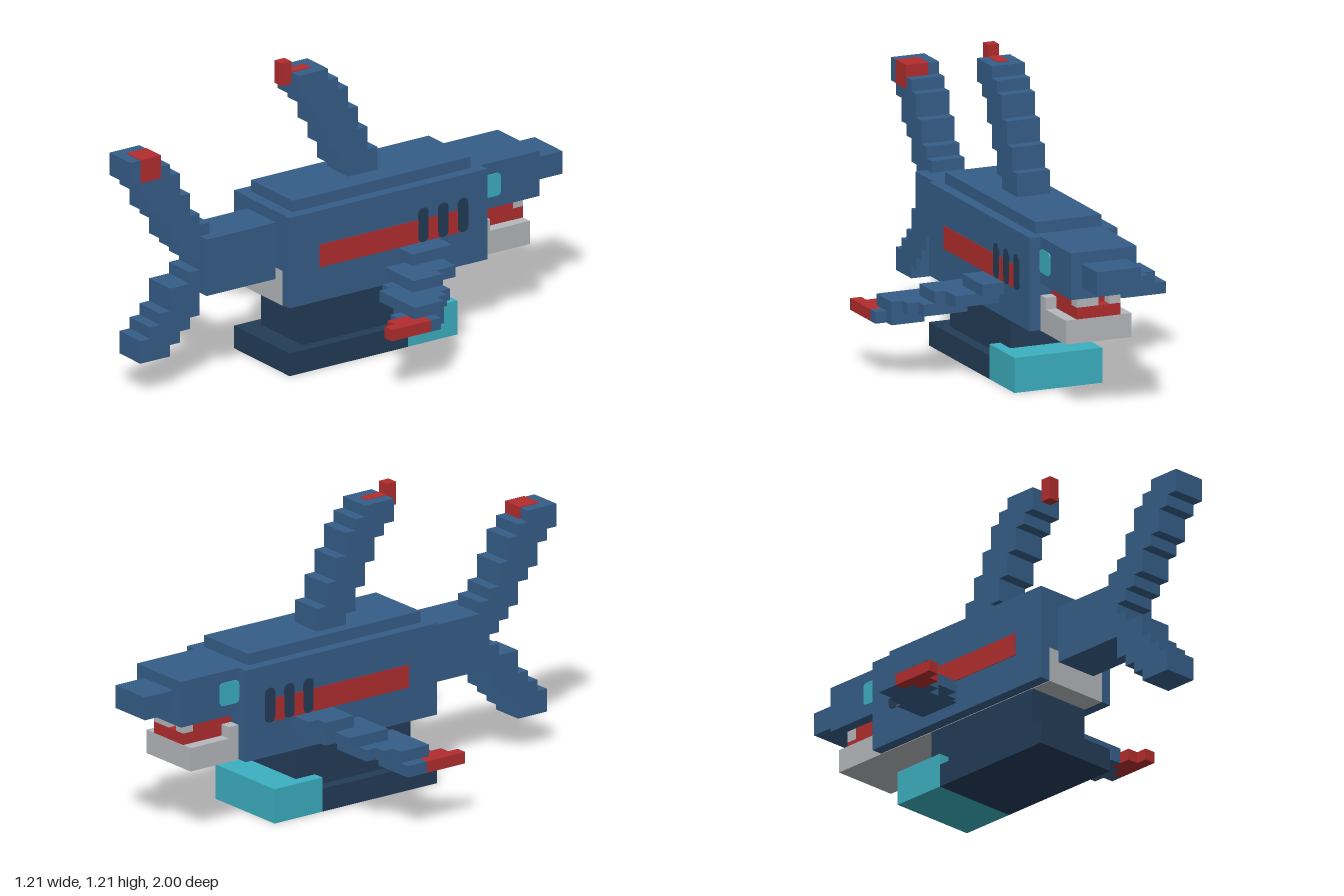
import * as THREE from 'three';

const U = 2 / 43; // one block
const E = 0.05;   // paint thickness, in blocks

const colour = (name, hex) => {
  const m = new THREE.MeshStandardMaterial({ color: hex });
  m.name = name;
  return m;
};

export function createModel() {
  const root = new THREE.Group();
  root.name = 'blockShark';
  const blue = colour('sharkBlue', 0x365e89);
  const navy = colour('darkNavy', 0x233c57);
  const red = colour('red', 0xb32d2e);
  const teal = colour('teal', 0x3cafc0);
  const grey = colour('paleGrey', 0xb5b8bc);

  // Box from its limits in blocks
  function box(name, mat, x0, x1, y0, y1, z0, z1, parent = root) {
    const g = new THREE.BoxGeometry((x1 - x0) * U, (y1 - y0) * U, (z1 - z0) * U);
    const m = new THREE.Mesh(g, mat);
    m.name = name;
    m.position.set((x0 + x1) / 2 * U, (y0 + y1) / 2 * U, (z0 + z1) / 2 * U);
    parent.add(m);
    return m;
  }

  // Stepped fin: one slab per [y0, y1, z0, z1]
  function fin(name, rows) {
    const g = new THREE.Group();
    g.name = name;
    rows.forEach(r => box(name + 'Step', blue, -2, 1, ...r, g));
    root.add(g);
  }

  // Rounded plate on the side of the body
  function plate(name, mat, side, x, y0, y1, z0, z1, r) {
    const w = (z1 - z0) / 2 * U, h = (y1 - y0) / 2 * U, c = r * U;
    const s = new THREE.Shape();
    s.moveTo(-w + c, -h);
    s.lineTo(w - c, -h);
    s.quadraticCurveTo(w, -h, w, -h + c);
    s.lineTo(w, h - c);
    s.quadraticCurveTo(w, h, w - c, h);
    s.lineTo(-w + c, h);
    s.quadraticCurveTo(-w, h, -w, h - c);
    s.lineTo(-w, -h + c);
    s.quadraticCurveTo(-w, -h, -w + c, -h);
    const g = new THREE.ExtrudeGeometry(s, { depth: 0.005, bevelEnabled: false, curveSegments: 5 });
    const m = new THREE.Mesh(g, mat);
    m.name = name;
    m.rotation.y = side * Math.PI / 2;
    m.position.set(side * x * U, (y0 + y1) / 2 * U, (z0 + z1) / 2 * U);
    root.add(m);
  }

  // Stand
  box('standFoot', navy, -4, 4, 0, 2, -4.5, 7.5);
  box('standPillar', navy, -3, 3, 2, 6, -6.5, 5.5);
  box('standToe', teal, -4, 4, 0, 3, -9.5, -4.5);

  // Body, head and tail stock
  box('body', blue, -4, 4, 6, 14, -12.5, 7.5);
  box('belly', grey, -3, 3, 6 - E, 9, -12.5, 7.5 + E);
  box('backPlate', blue, -3, 3, 14, 15, -11.5, 6.5);
  box('head', blue, -3, 3, 10, 14, -18.5, -12.5);
  box('snout', blue, -2, 2, 11, 13, -21.5, -18.5);
  box('tailStock', blue, -2, 2, 8, 13, 7.5, 14.5);

  // Jaw, mouth and teeth
  box('jaw', grey, -3, 3, 6 - E, 8, -17.5, -12.5);
  box('upperMouth', red, -2, 2, 9, 10, -16.5, -12.5);
  box('lowerMouth', red, -2, 2, 8, 9, -17.5, -13.5);
  box('jawHinge', grey, -3, 3, 8, 9, -13.5, -12.5);
  [-2, 0, 1].forEach(x => box('tooth', grey, x, x + 1, 9, 10, -17.5, -16.5));

  // Dorsal fin with red tip
  fin('dorsalFin', [
    [15, 16, -3.5, -0.5], [16, 17, -3.5, 0.5], [17, 18, -2.5, 0.5],
    [18, 19, -2.5, 1.5], [19, 20, -1.5, 1.5], [20, 21, -1.5, 2.5],
    [21, 22, -0.5, 2.5], [22, 23, -0.5, 3.5], [23, 24, 0.5, 4.5], [24, 25, 1.5, 4.5]
  ]);
  box('dorsalTip', red, -1, 0, 24, 26, 4.5, 5.5);
  box('dorsalTopPaint', red, -1, 0, 25, 25 + E, 2.5, 4.5);

  // Tail fins
  fin('upperTailFin', [
    [11, 12, 14.5, 15.5], [12, 13, 14.5, 16.5], [13, 14, 13.5, 17.5],
    [14, 15, 14.5, 17.5], [15, 16, 15.5, 18.5], [16, 17, 15.5, 19.5],
    [17, 18, 16.5, 19.5], [18, 19, 16.5, 20.5], [19, 20, 17.5, 21.5], [20, 21, 18.5, 21.5]
  ]);
  box('upperTailTip', red, -1, 1 + E, 19, 21 + E, 18.5 - E, 20.5);
  fin('lowerTailFin', [
    [9, 10, 14.5, 15.5], [8, 9, 14.5, 17.5], [7, 8, 14.5, 17.5], [6, 7, 14.5, 18.5],
    [5, 6, 15.5, 19.5], [4, 5, 16.5, 20.5], [3, 4, 17.5, 20.5]
  ]);

  // Side fins: [material, near, far, y, z0, z1], stepping down and outward
  const outer = [
    [blue, 6, 7, 6, -4.5, -0.5], [blue, 7, 10, 6, -4.5, 0.5],
    [blue, 10, 11, 6, -3.5, 0.5], [blue, 11, 12, 6, -2.5, 0.5],
    [blue, 9, 10, 5, -2.5, 0.5], [blue, 10, 11, 5, -2.5, 1.5],
    [blue, 11, 12, 5, -2.5, 0.5], [red, 11, 12, 5, 0.5, 2.5], [red, 12, 13, 5, -0.5, 3.5]
  ];
  const leftFin = [
    [blue, 4, 6, 8, -7.5, -3.5], [blue, 4, 5, 7, -6.5, -3.5],
    [blue, 5, 8, 7, -6.5, -1.5], [blue, 8, 9, 7, -4.5, -1.5],
    [blue, 12, 13, 5, -1.5, -0.5], ...outer
  ];
  const rightFin = [
    [blue, 4, 6, 8, -7.5, -3.5], [blue, 6, 7, 8, -6.5, -3.5],
    [blue, 4, 5, 7, -6.5, -2.5], [blue, 5, 7, 7, -6.5, -1.5],
    [blue, 7, 9, 7, -5.5, -1.5], [blue, 12, 13, 5, -2.5, -0.5], ...outer
  ];
  [[1, 'leftFin', leftFin], [-1, 'rightFin', rightFin]].forEach(([s, name, blocks]) => {
    const g = new THREE.Group();
    g.name = name;
    blocks.forEach(([mat, a, b, y, z0, z1]) =>
      box(name + (mat === red ? 'Tip' : 'Step'), mat,
        Math.min(s * a, s * b), Math.max(s * a, s * b), y, y + 1, z0, z1, g));
    root.add(g);

    // Painted stripe, gills and eye
    const x0 = s > 0 ? 4 : -4 - E;
    box('sideStripe', red, x0, x0 + E, 9, 11, -10, 4.5);
    [-5.5, -7.5, -9.5].forEach(z => plate('gill', navy, s, 4, 9, 12, z - 1, z, 0.5));
    plate('eye', teal, s, 3, 11, 13, -14.5, -12.5, 0.4);
  });

  return root;
}
